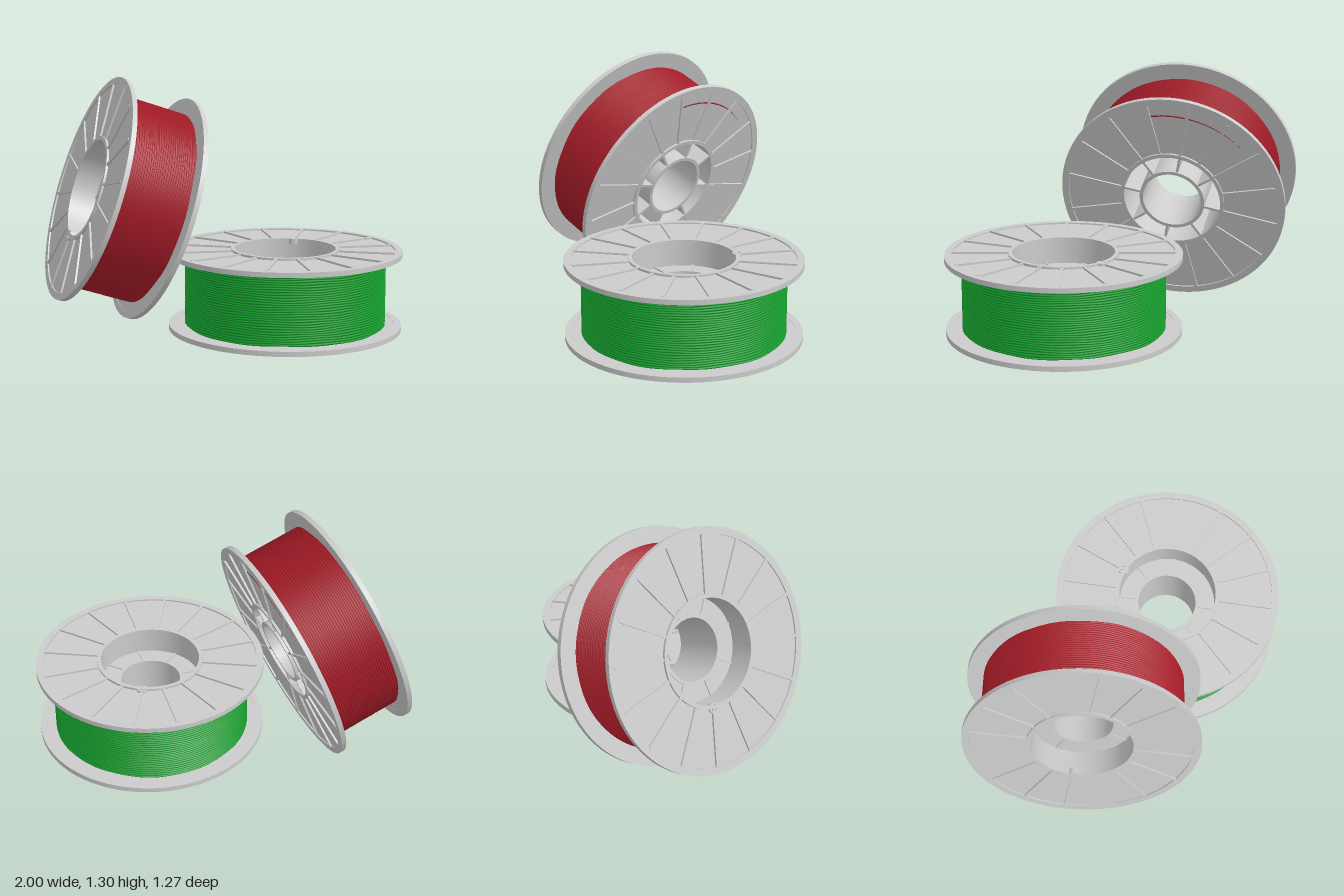
import * as THREE from 'three';
import { toCreasedNormals } from 'three/addons/utils/BufferGeometryUtils.js';

const R = 0.607, H = 0.425;          // flange radius, spool height
const HUB_IN = 0.262, HUB_OUT = 0.282;
const BORE = 0.158, SLEEVE = 0.176;
const FLOOR = 0.285;                 // height of the hub floor

const grey = new THREE.MeshStandardMaterial({ color: 0xcccccc });
const green = new THREE.MeshStandardMaterial({ color: 0x149a2c });
const red = new THREE.MeshStandardMaterial({ color: 0xa81c28 });

function add(parent, name, geometry, material = grey) {
  const mesh = new THREE.Mesh(geometry, material);
  mesh.name = name;
  parent.add(mesh);
  return mesh;
}

// Ring with a rectangular section
function ring(ri, ro, y0, y1, segments = 80) {
  const profile = [[ri, y0], [ro, y0], [ro, y1], [ri, y1], [ri, y0]]
    .map(([x, y]) => new THREE.Vector2(x, y));
  return toCreasedNormals(new THREE.LatheGeometry(profile, segments), 0.6);
}

// Evenly spaced radial bars
function bars(parent, name, count, phase, r0, r1, y0, y1, width) {
  for (let i = 0; i < count; i++) {
    const a = phase + (i / count) * Math.PI * 2;
    const bar = add(parent, name, new THREE.BoxGeometry(r1 - r0, y1 - y0, width));
    const r = (r0 + r1) / 2;
    bar.position.set(Math.cos(a) * r, (y0 + y1) / 2, -Math.sin(a) * r);
    bar.rotation.y = a;
  }
}

// Wound strands: a corrugated barrel with slightly wandering turns
function windingGeometry() {
  const y0 = 0.028, y1 = 0.397, turns = 30, steps = 4;
  const profile = [];
  for (let i = 0; i <= turns * steps; i++) {
    const t = i / steps;
    const bulge = Math.abs(Math.sin(t * Math.PI));
    profile.push(new THREE.Vector2(0.514 + 0.008 * bulge, y0 + (y1 - y0) * t / turns));
  }
  const geometry = new THREE.LatheGeometry(profile, 96);
  const p = geometry.attributes.position;
  for (let i = 0; i < p.count; i++) {
    const a = Math.atan2(p.getZ(i), p.getX(i)), y = p.getY(i);
    p.setY(i, y + 0.002 * Math.sin(5 * a + y * 40) + 0.0015 * Math.sin(11 * a - y * 65));
  }
  return geometry;
}

// One flange: plate, raised rim and spokes; the outer face is at y = 0
function flange(name) {
  const g = new THREE.Group();
  g.name = name;
  add(g, 'flangePlate', ring(HUB_IN, R - 0.005, 0.012, 0.028));
  add(g, 'flangeRim', ring(0.57, R, 0.004, 0.03));
  add(g, 'hubRim', ring(HUB_IN, HUB_OUT, 0, 0.02));
  bars(g, 'spoke', 16, 0, HUB_OUT - 0.005, 0.575, 0.002, 0.016, 0.014);
  return g;
}

function spool(material) {
  const g = new THREE.Group();
  g.name = 'spool';
  g.add(flange('bottomFlange'));
  const top = flange('topFlange');
  top.rotation.x = Math.PI;
  top.position.y = H;
  g.add(top);

  // Hub: outer barrel, recessed floor, sleeve and fins
  add(g, 'hubBarrel', ring(HUB_IN, HUB_OUT, 0.01, H - 0.01));
  add(g, 'hubFloor', ring(SLEEVE - 0.005, HUB_IN + 0.005, FLOOR - 0.015, FLOOR, 64));
  add(g, 'hubSleeve', ring(BORE, SLEEVE, 0, FLOOR + 0.005, 64));
  bars(g, 'hubFin', 8, Math.PI / 8, SLEEVE - 0.005, HUB_IN + 0.005, 0.005, FLOOR + 0.006, 0.012);

  // Small loop where the strand end is hooked
  const loop = add(g, 'strandLoop', ring(0.018, 0.028, H - 0.03, H, 20));
  loop.position.z = -HUB_OUT + 0.005;

  add(g, 'winding', windingGeometry(), material);
  return g;
}

export function createModel() {
  const model = new THREE.Group();
  model.name = 'twoSpools';

  const lying = spool(green);
  lying.name = 'greenSpool';
  lying.position.x = 0.39;
  model.add(lying);

  // Leaning spool, its upper face turned to the front right side
  const leaning = new THREE.Group();
  leaning.name = 'redSpool';
  const axis = new THREE.Vector3(-0.82, 0.32, 0.48).normalize();
  leaning.quaternion.setFromUnitVectors(new THREE.Vector3(0, 1, 0), axis);
  leaning.position.set(-0.48, 0.655, 0).addScaledVector(axis, -H / 2);
  const body = spool(red);
  body.rotation.y = 1.92;
  leaning.add(body);

  // Loose strand showing through the lower flange
  const points = [];
  for (let i = 0; i <= 8; i++) {
    const a = THREE.MathUtils.degToRad(-20 - 60 * i / 8);
    points.push(new THREE.Vector3(0.507 * Math.cos(a), 0.014 + 0.003 * i / 8, 0.507 * Math.sin(a)));
  }
  const path = new THREE.CatmullRomCurve3(points);
  add(leaning, 'looseStrand', new THREE.TubeGeometry(path, 32, 0.005, 8), red);
  model.add(leaning);

  return model;
}
